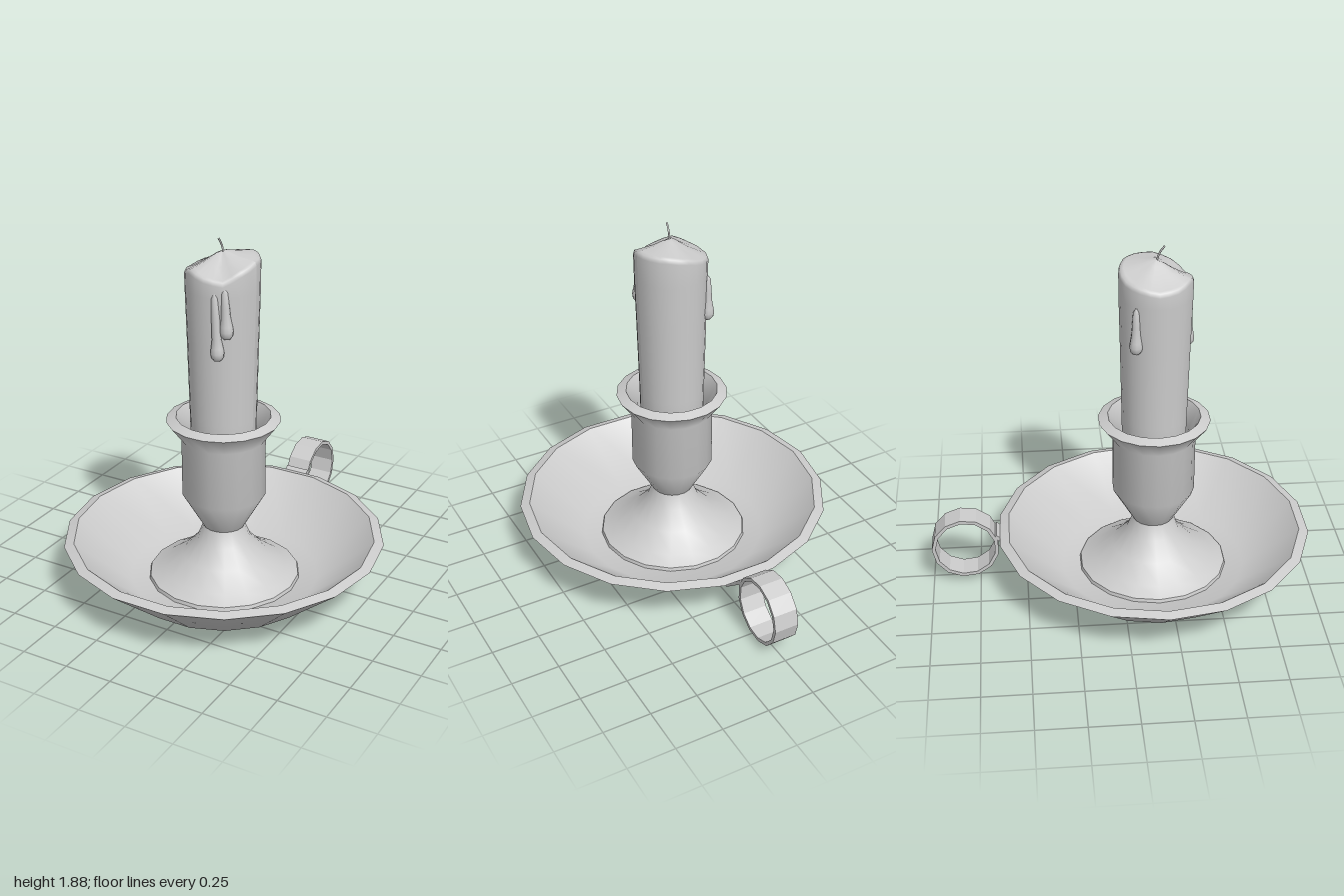
import * as THREE from 'three';
import { mergeGeometries } from 'three/addons/utils/BufferGeometryUtils.js';

const AXIS_Z = 0.18; // dish, holder and candle share this axis
const material = new THREE.MeshStandardMaterial({ color: 0xcccccc });

function add(parent, name, geometry) {
  const mesh = new THREE.Mesh(geometry, material);
  mesh.name = name;
  parent.add(mesh);
  return mesh;
}

// Each profile is turned on its own, so edges between profiles stay sharp
function turned(profiles, sides = 18) {
  return mergeGeometries(profiles.map((profile) => new THREE.LatheGeometry(
    profile.map(([r, y]) => new THREE.Vector2(r, y)), sides, Math.PI / 2)));
}

// Height of the melted rim every 30 degrees, from +x towards +z
const RIM = [1.775, 1.745, 1.70, 1.715, 1.74, 1.715, 1.705, 1.72, 1.735, 1.765, 1.78, 1.78];
function rimHeight(angle) {
  const t = ((angle / (Math.PI * 2) + 1) % 1) * RIM.length;
  const i = Math.floor(t) % RIM.length;
  const s = THREE.MathUtils.smoothstep(t - Math.floor(t), 0, 1);
  return THREE.MathUtils.lerp(RIM[i], RIM[(i + 1) % RIM.length], s);
}

function candleGeometry() {
  const geometry = turned([[
    [0, 0.5], [0.16, 0.5], [0.168, 0.95], [0.177, 1.35], [0.184, 1.62], [0.185, 1.715],
    [0.178, 1.735], [0.16, 1.74], [0.09, 1.765], [0.04, 1.79], [0, 1.803],
  ]], 24);
  const p = geometry.attributes.position;
  for (let i = 0; i < p.count; i++) {
    if (p.getY(i) < 1.65) continue;
    const weight = Math.min(1, Math.hypot(p.getX(i), p.getZ(i)) / 0.16);
    const shift = rimHeight(Math.atan2(p.getZ(i), p.getX(i))) - 1.74;
    p.setY(i, p.getY(i) + weight * shift);
  }
  geometry.computeVertexNormals();
  return geometry;
}

// Teardrop of wax, its foot at the origin
function dripGeometry(length) {
  return turned([[
    [0, 0], [0.018, 0.005], [0.03, 0.02], [0.034, 0.042], [0.03, 0.068],
    [0.023, 0.11], [0.021, length * 0.6], [0.016, length * 0.9], [0, length],
  ]], 10);
}

export function createModel() {
  const model = new THREE.Group();
  model.name = 'candleHolder';
  const centre = new THREE.Group();
  centre.name = 'holderAndCandle';
  centre.position.z = AXIS_Z;
  model.add(centre);

  // Dish: outside, lip, inside
  add(centre, 'dish', turned([
    [[0, 0], [0.51, 0], [0.83, 0.27]],
    [[0.83, 0.27], [0.78, 0.285]],
    [[0.78, 0.285], [0.49, 0.04], [0, 0.04]],
  ]));

  // Flared foot standing on the dish floor
  add(centre, 'foot', turned([
    [[0.395, 0.04], [0.39, 0.058]],
    [[0.39, 0.058], [0.32, 0.092], [0.22, 0.165], [0.14, 0.25], [0.108, 0.33]],
  ]));

  // Cup with a flared collar: outside, lip, inside
  add(centre, 'cup', turned([
    [[0.108, 0.33], [0.215, 0.515], [0.215, 0.825], [0.29, 0.925]],
    [[0.29, 0.925], [0.24, 0.945]],
    [[0.24, 0.945], [0.185, 0.84], [0.185, 0.53], [0, 0.5]],
  ]));

  add(centre, 'candle', candleGeometry());

  // Wick bending forward
  const wickPath = new THREE.CatmullRomCurve3([
    new THREE.Vector3(0.004, 1.78, 0), new THREE.Vector3(0.004, 1.82, 0.008),
    new THREE.Vector3(0.001, 1.85, 0.022), new THREE.Vector3(0, 1.873, 0.04),
  ]);
  add(centre, 'wick', new THREE.TubeGeometry(wickPath, 8, 0.005, 6));

  // Wax drips: [angle, foot height, length, sideways lean]
  [[68, 1.305, 0.35, 0.05], [54, 1.415, 0.26, 0.05], [-143, 1.37, 0.25, 0]]
    .forEach(([degrees, y, length, lean], i) => {
      const a = THREE.MathUtils.degToRad(degrees);
      const drip = add(centre, 'waxDrip' + (i + 1), dripGeometry(length));
      drip.position.set(Math.cos(a) * 0.184, y, Math.sin(a) * 0.184);
      drip.rotation.z = lean;
    });

  // Finger ring behind the dish
  const circle = (r) => Array.from({ length: 13 }, (_, i) => {
    const a = Math.PI + (i / 13) * Math.PI * 2;
    return new THREE.Vector2(-0.822 + r * Math.cos(a), 0.21 + r * Math.sin(a));
  });
  const ringShape = new THREE.Shape(circle(0.178));
  ringShape.holes.push(new THREE.Path(circle(0.159)));
  const ring = new THREE.ExtrudeGeometry(ringShape, { depth: 0.13, bevelEnabled: false });
  ring.translate(0, 0, -0.065).rotateY(-Math.PI / 2);
  add(model, 'fingerRing', ring);

  // Strap joining the ring to the underside of the dish
  const strap = add(model, 'ringStrap', new THREE.BoxGeometry(0.13, 0.02, 0.19));
  strap.position.set(0, 0.217, -0.59);
  strap.rotation.x = Math.atan2(0.27, 0.315);

  return model;
}
